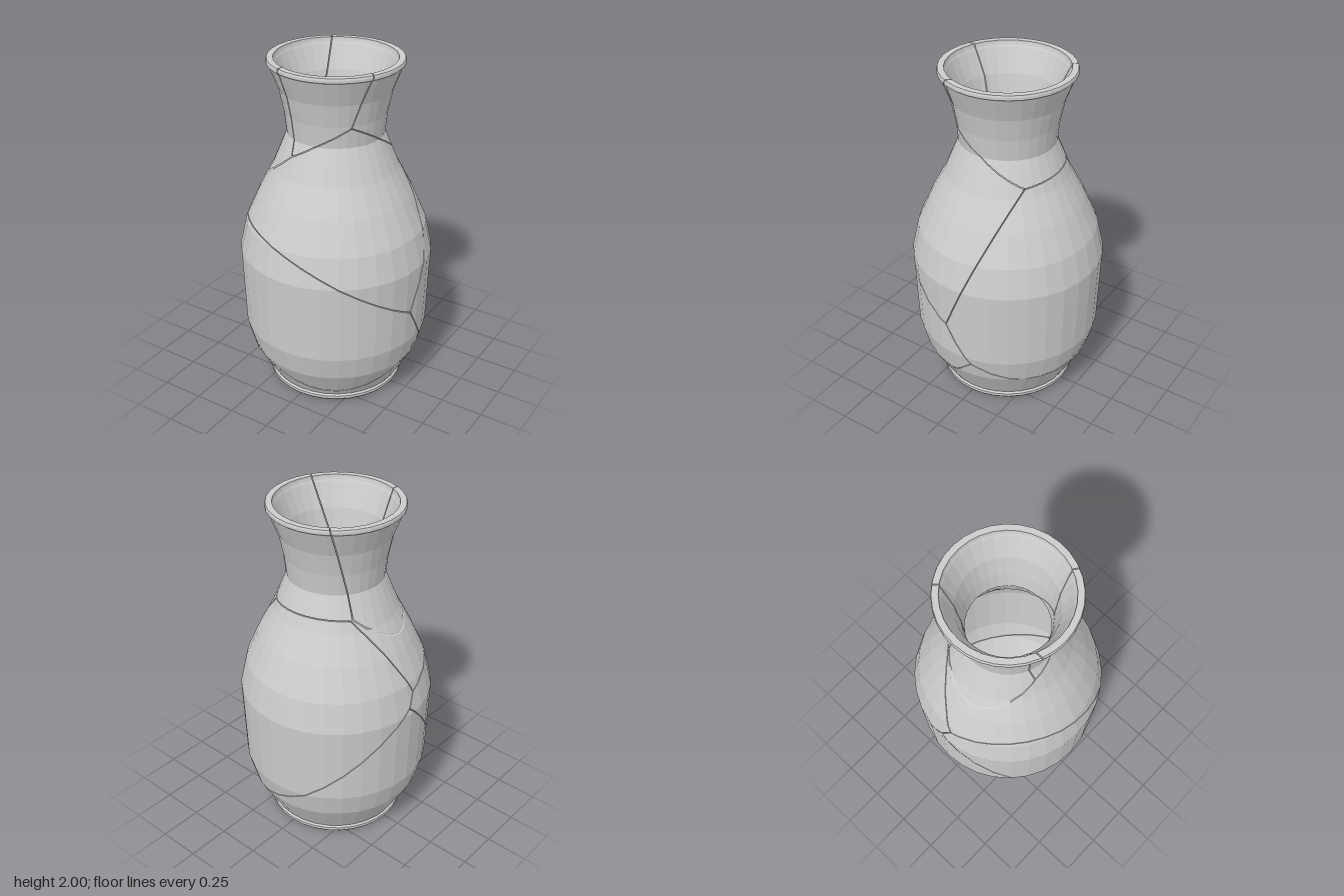
import * as THREE from 'three';

const V = (x, y, z) => new THREE.Vector3(x, y, z);
const SIDES = 32;
const GAP = 0.005;

// Wall profile, base to rim: outer radius, outer height, inner radius, inner height
const PROFILE = [
  [0, 0, 0, 0.06], [0.395, 0, 0.36, 0.06], [0.405, 0.012, 0.361, 0.063],
  [0.405, 0.03, 0.363, 0.067], [0.395, 0.04, 0.366, 0.072], [0.507, 0.24, 0.462, 0.255],
  [0.545, 0.39, 0.5, 0.4], [0.56, 0.865, 0.515, 0.86], [0.52, 1.04, 0.475, 1.03],
  [0.44, 1.22, 0.395, 1.2], [0.355, 1.38, 0.31, 1.36], [0.275, 1.575, 0.23, 1.58],
  [0.288, 1.7, 0.245, 1.7], [0.315, 1.83, 0.273, 1.83], [0.367, 1.965, 0.328, 1.965],
  [0.379, 1.975, 0.334, 1.975], [0.379, 1.99, 0.339, 1.99], [0.375, 2, 0.34, 2],
];

// Each shard is the region where its linear field (x, y, z, constant) is the largest
const SHARDS = {
  neckFrontShard: [-0.03, 2.318, 0.13, -2.581],
  neckRightHandShard: [-0.305, 2.298, 0.141, -2.582],
  neckBackShard: [0.514, 2.068, -0.555, -2.149],
  shoulderShard: [0.552, 1.268, -0.08, -0.895],
  backBodyShard: [0.465, 1, -0.7, -0.649],
  frontBodyShard: [0.211, 0.355, 0.355, -0.201],
  baseShard: [0, 0, 0, 0],
};

// One block of the wall between two profile steps and two angles
function wallBlock(band, side) {
  const corner = (step, k, inner) => {
    const a = (k % SIDES) / SIDES * Math.PI * 2;
    const r = PROFILE[step][inner * 2];
    return V(r * Math.sin(a), PROFILE[step][inner * 2 + 1], r * Math.cos(a));
  };
  const p = [];
  for (const inner of [0, 1])
    for (const [s, k] of [[0, 0], [0, 1], [1, 1], [1, 0]]) p.push(corner(band + s, side + k, inner));
  const centre = p.reduce((c, q) => c.add(q), V(0, 0, 0)).divideScalar(8);
  // outer, inner and (at the rim only) top faces are seen; the rest are inside the wall
  const faces = [[0, 1, 2, 3, true], [4, 5, 6, 7, true], [3, 2, 6, 7, band === PROFILE.length - 2],
    [0, 1, 5, 4, false], [0, 3, 7, 4, false], [1, 2, 6, 5, false]];
  return faces.map(([a, b, c, d, seen]) => {
    const pts = [p[a], p[b], p[c], p[d]];
    const n = p[c].clone().sub(p[a]).cross(p[d].clone().sub(p[b]));
    const mid = pts.reduce((m, q) => m.add(q), V(0, 0, 0)).divideScalar(4);
    if (n.dot(mid.sub(centre)) < 0) pts.reverse();
    return { pts, seen };
  });
}

// Keep the part of a convex block where n.p + d > 0 and cap the cut
function clip(faces, n, d) {
  const cut = [], out = [];
  for (const { pts, seen } of faces) {
    const kept = [];
    pts.forEach((a, i) => {
      const b = pts[(i + 1) % pts.length];
      const da = n.dot(a) + d, db = n.dot(b) + d;
      if (da > 0) kept.push(a);
      if ((da > 0) !== (db > 0)) {
        const q = a.clone().lerp(b, da / (da - db));
        kept.push(q);
        cut.push(q);
      }
    });
    if (kept.length > 2) out.push({ pts: kept, seen });
  }
  if (cut.length > 2) {
    const c = cut.reduce((m, q) => m.add(q), V(0, 0, 0)).divideScalar(cut.length);
    const u = V(0, 0, 0).crossVectors(n, Math.abs(n.y) > 0.8 ? V(1, 0, 0) : V(0, 1, 0)).normalize();
    const w = V(0, 0, 0).crossVectors(n, u);
    const angle = (q) => Math.atan2(q.clone().sub(c).dot(w), q.clone().sub(c).dot(u));
    cut.sort((a, b) => angle(b) - angle(a));
    const ring = cut.filter((q, i) => i === 0 || q.distanceTo(cut[i - 1]) > 1e-7);
    if (ring.length > 2) out.push({ pts: ring, seen: true });
  }
  return out;
}

// Cut all wall blocks down to one shard
function shardGeometry(name) {
  const own = SHARDS[name];
  const planes = Object.keys(SHARDS).filter((k) => k !== name).map((k) => {
    const [x, y, z, d] = own.map((v, i) => v - SHARDS[k][i]);
    const len = Math.hypot(x, y, z);
    return [V(x, y, z).divideScalar(len), d / len - GAP / 2];
  });
  const pos = [];
  for (let band = 0; band < PROFILE.length - 1; band++) {
    for (let side = 0; side < SIDES; side++) {
      let faces = wallBlock(band, side);
      for (const [n, d] of planes) faces = clip(faces, n, d);
      for (const { pts, seen } of faces) {
        if (!seen) continue;
        for (let i = 1; i < pts.length - 1; i++) {
          const tri = [pts[0], pts[i], pts[i + 1]];
          const area = tri[1].clone().sub(tri[0]).cross(tri[2].clone().sub(tri[0])).length();
          if (area > 1e-10) tri.forEach((q) => pos.push(q.x, q.y, q.z));
        }
      }
    }
  }
  const geo = new THREE.BufferGeometry();
  geo.setAttribute('position', new THREE.Float32BufferAttribute(pos, 3));
  geo.computeVertexNormals();
  return geo;
}

export function createModel() {
  const vase = new THREE.Group();
  vase.name = 'crackedVase';
  const clay = new THREE.MeshStandardMaterial({ color: 0xcccccc, flatShading: true });
  for (const name of Object.keys(SHARDS)) {
    const shard = new THREE.Mesh(shardGeometry(name), clay);
    shard.name = name;
    vase.add(shard);
  }
  return vase;
}
